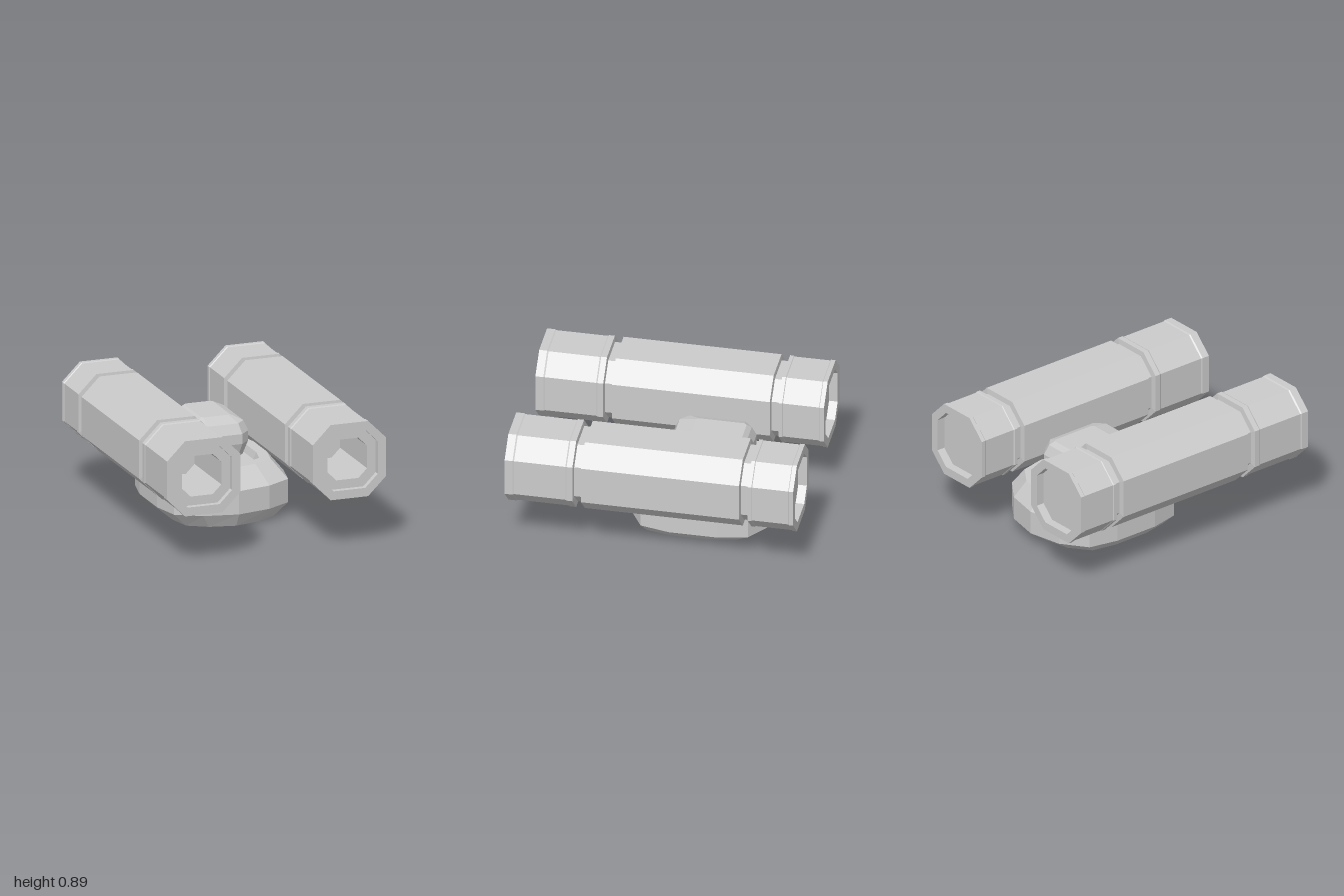
import * as THREE from 'three';

const material = new THREE.MeshStandardMaterial({ color: 0xcccccc, flatShading: true });

// Skin a list of equal-length rings ([x, y, z] corners) and close both ends.
// Rings run counter-clockwise as seen from the end they advance towards.
function loft(name, rings) {
  const n = rings[0].length;
  const pos = [];
  const tri = (a, b, c) => pos.push(...a, ...b, ...c);
  for (let r = 0; r < rings.length - 1; r++) {
    for (let i = 0; i < n; i++) {
      const j = (i + 1) % n;
      const a = rings[r], b = rings[r + 1];
      tri(a[i], a[j], b[j]);
      tri(a[i], b[j], b[i]);
    }
  }
  const first = rings[0], last = rings[rings.length - 1];
  for (let i = 1; i < n - 1; i++) {
    tri(first[0], first[i + 1], first[i]);
    tri(last[0], last[i], last[i + 1]);
  }
  const geometry = new THREE.BufferGeometry();
  geometry.setAttribute('position', new THREE.Float32BufferAttribute(pos, 3));
  geometry.computeVertexNormals();
  const mesh = new THREE.Mesh(geometry, material);
  mesh.name = name;
  return mesh;
}

// Rectangle with cut corners, counter-clockwise: half sizes and half lengths of the flats
function cutRect(hx, hy, fx, fy) {
  return [[hx, -fy], [hx, fy], [fx, hy], [-fx, hy], [-hx, fy], [-hx, -fy], [-fx, -hy], [fx, -hy]];
}

// Eight-sided tube along z with collars, two grooves, a shallow rear recess and a front bore
function makeTube(name) {
  const profile = [ // [z, half width]
    [-0.94, 0.206], [-1, 0.206], [-1, 0.267], [-0.97, 0.267], [-0.965, 0.262],
    [-0.715, 0.262], [-0.71, 0.267], [-0.685, 0.267], [-0.68, 0.23], [-0.63, 0.23],
    [-0.625, 0.267], [0.47, 0.267], [0.475, 0.23], [0.525, 0.23], [0.53, 0.267],
    [0.57, 0.267], [0.58, 0.262], [0.935, 0.262], [0.945, 0.267], [1, 0.267],
    [1, 0.206], [0.96, 0.206], [0.96, 0.143], [0.45, 0.143],
  ];
  return loft(name, profile.map(([z, h]) => {
    const flat = h * (h < 0.21 ? 0.56 : 0.51);
    return cutRect(h, h, flat, flat).map(([x, y]) => [x, y, z]);
  }));
}

// Rounded twelve-sided hull with a sunken top
function makeHull() {
  const half = [[0, 0.537], [0.24, 0.487], [0.415, 0.385], [0.46, 0.18],
    [0.46, -0.15], [0.415, -0.36], [0.24, -0.487], [0, -0.537]];
  const mirrored = half.slice(1, -1).reverse().map(([x, z]) => [-x, z]);
  const plan = [...half, ...mirrored];
  const levels = [ // [y, x scale, z scale, z centre]
    [0, 0.77, 0.825, -0.21],
    [0.095, 1, 1, -0.25],
    [0.26, 1, 1, -0.25],
    [0.38, 0.8, 0.782, -0.285],
    [0.38, 0.64, 0.633, -0.27],
    [0.33, 0.6, 0.59, -0.27],
  ];
  return loft('hull', levels.map(([y, sx, sz, cz]) => plan.map(([x, z]) => [x * sx, y, cz + z * sz])));
}

// Faceted canopy above the hull, its roof sloping down towards the front
function makeCanopy() {
  const levels = [ // [y, half width, back z, front z, corner cut]
    [0.405, 0.165, -0.53, -0.03, 0.05],
    [0.5, 0.203, -0.56, 0, 0.07],
    [0.57, 0.203, -0.56, 0, 0.07],
    [0.64, 0.175, -0.53, -0.03, 0.06],
    [0.67, 0.105, -0.5, -0.15, 0.015],
  ];
  return loft('canopy', levels.map(([y, hx, back, front, cut]) => {
    const hz = (front - back) / 2, cz = (front + back) / 2;
    return cutRect(hx, hz, hx - cut, hz - cut).map(([x, v]) => [x, y, cz - v]);
  }));
}

export function createModel() {
  const model = new THREE.Group();
  model.name = 'twinTubeCraft';
  model.add(makeHull(), makeCanopy());
  for (const [name, side] of [['leftTube', 1], ['rightTube', -1]]) {
    const tube = makeTube(name);
    tube.position.set(side * 0.53, 0.622, 0);
    model.add(tube);
  }
  return model;
}
